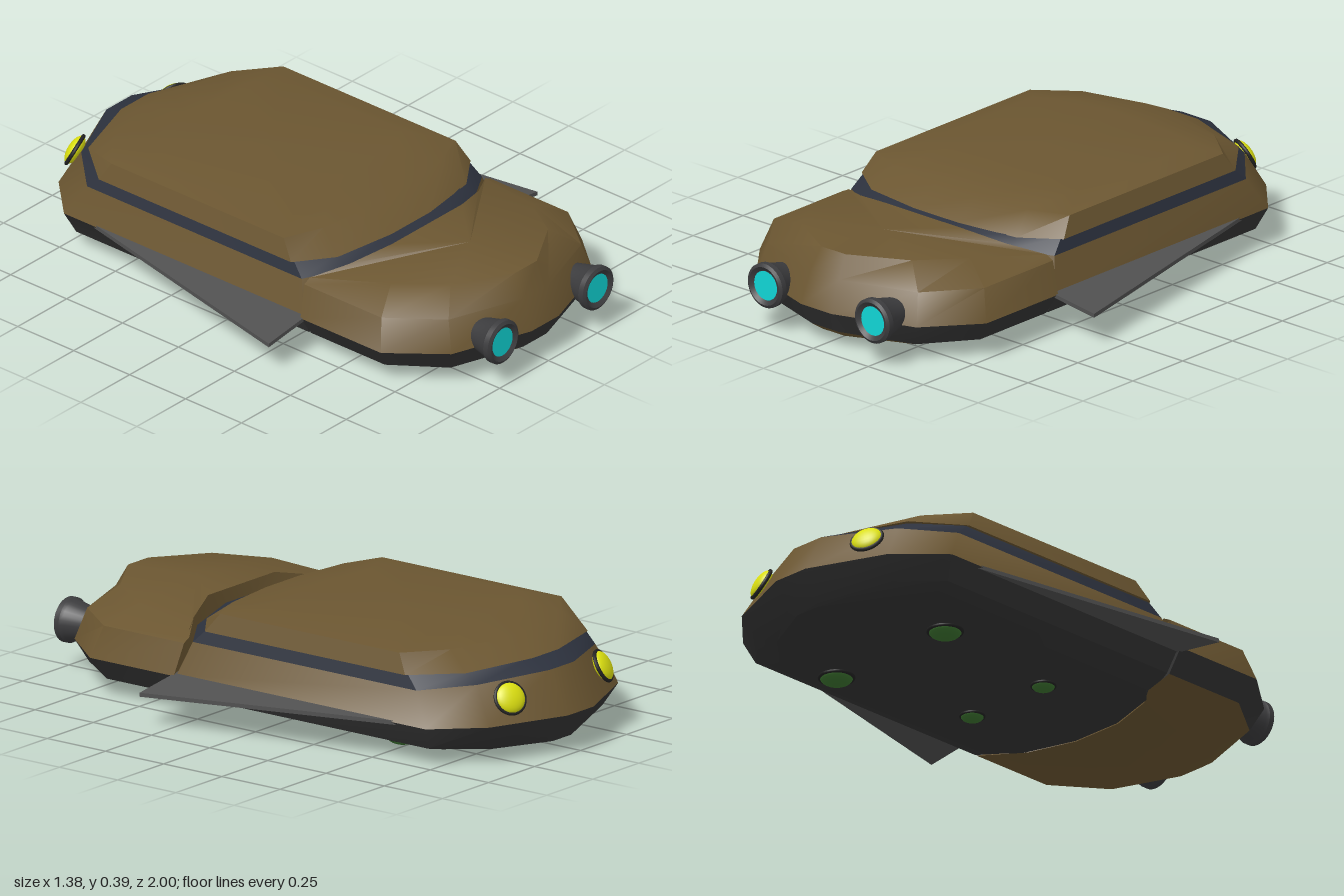
import * as THREE from 'three';
import { toCreasedNormals } from 'three/addons/utils/BufferGeometryUtils.js';

const mat = (color) => new THREE.MeshStandardMaterial({ color });
const paint = mat(0x6b5631), hullGrey = mat(0x343434), glass = mat(0x2c313d), finGrey = mat(0x505050);
const nozzleGrey = mat(0x3c3c3e), rim = mat(0x222222), cyan = mat(0x10d4d4), yellow = mat(0xdce010), green = mat(0x3c7430);

// Closed ring from half an outline [x, z, y], mirrored across x = 0
function ring(y, half) {
  const right = half.map(([x, z, h = y]) => [x, h, z]);
  return [...right, ...right.map(([x, h, z]) => [-x, h, z]).reverse()];
}

// Skin through rings stacked upwards, with optional cap centres
function loft(rings, { bottom, top } = {}) {
  const pos = [];
  const tri = (...p) => p.forEach((v) => pos.push(...v));
  const n = rings[0].length;
  for (let i = 0; i < n; i++) {
    const j = (i + 1) % n;
    for (let k = 0; k < rings.length - 1; k++) {
      const a = rings[k], b = rings[k + 1];
      tri(a[i], b[i], a[j]);
      tri(a[j], b[i], b[j]);
    }
    const first = rings[0], last = rings[rings.length - 1];
    if (bottom) tri(bottom, first[i], first[j]);
    if (top) tri(top, last[j], last[i]);
  }
  const g = new THREE.BufferGeometry();
  g.setAttribute('position', new THREE.Float32BufferAttribute(pos, 3));
  return toCreasedNormals(g, 0.75);
}

export function createModel() {
  const model = new THREE.Group();
  const add = (name, geometry, material, parent = model) => {
    const m = new THREE.Mesh(geometry, material);
    m.name = name;
    parent.add(m);
    return m;
  };

  // Cabin body: outlines run from the -z end along the side to the +z end
  const floor = ring(0.032, [[0.05, -0.92], [0.25, -0.82], [0.36, -0.69], [0.36, 0.33], [0.3, 0.39], [0.1, 0.45]]);
  const chine = ring(0.06, [[0.06, -0.945], [0.32, -0.84], [0.46, -0.71], [0.46, 0.33], [0.34, 0.39], [0.1, 0.45]]);
  const belt = ring(0.14, [[0.07, -1], [0.35, -0.885], [0.5, -0.73], [0.5, 0.34], [0.36, 0.39], [0.1, 0.45]]);
  const shoulder = ring(0.255, [[0.065, -0.92, 0.285], [0.32, -0.81, 0.27], [0.462, -0.66], [0.462, 0.3], [0.33, 0.385, 0.27], [0.1, 0.445, 0.285]]);
  const windowTop = ring(0.305, [[0.065, -0.84, 0.318], [0.32, -0.76], [0.448, -0.61], [0.448, 0.25], [0.32, 0.335], [0.1, 0.375]]);
  add('lowerHull', loft([floor, chine, belt], { bottom: [0, 0.032, -0.2] }), hullGrey);
  add('cabinSides', loft([belt, shoulder]), paint);
  add('windowBand', loft([shoulder, windowTop]), glass);

  // Roof shell, slightly overhanging the window band
  add('roof', loft([
    ring(0.3, [[0.07, -0.85, 0.315], [0.33, -0.77, 0.306], [0.46, -0.61], [0.46, 0.25], [0.33, 0.345], [0.1, 0.385, 0.305]]),
    ring(0.367, [[0.065, -0.74], [0.3, -0.68], [0.44, -0.57], [0.44, 0.2], [0.3, 0.255], [0.09, 0.28]]),
    ring(0.392, [[0.05, -0.57], [0.24, -0.55], [0.34, -0.48], [0.34, 0.05], [0.24, 0.09], [0.08, 0.1]]),
  ], { bottom: [0, 0.3, -0.2], top: [0, 0.394, -0.25] }), paint);

  // Nose section, with a rear edge curved around the windscreen
  const noseFloor = ring(0.032, [[0.1, 0.455], [0.28, 0.4], [0.36, 0.34], [0.36, 0.62], [0.26, 0.8], [0.05, 0.9]]);
  const noseChine = ring(0.06, [[0.1, 0.455], [0.3, 0.4], [0.46, 0.34], [0.46, 0.67], [0.33, 0.85], [0.06, 0.94]]);
  const noseBelt = ring(0.14, [[0.1, 0.455], [0.32, 0.4], [0.515, 0.34], [0.515, 0.7], [0.365, 0.885], [0.07, 0.985]]);
  const noseShoulder = ring(0.25, [[0.1, 0.457], [0.33, 0.4], [0.478, 0.325], [0.478, 0.67], [0.34, 0.85], [0.065, 0.945]]);
  const noseTop = ring(0.328, [[0.18, 0.457], [0.33, 0.4, 0.295], [0.45, 0.325, 0.264], [0.36, 0.61, 0.31], [0.25, 0.78, 0.322], [0.055, 0.9]]);
  add('noseUnderside', loft([noseFloor, noseChine], { bottom: [0, 0.032, 0.65] }), paint);
  add('noseSkirt', loft([noseChine, noseBelt]), hullGrey);
  add('hood', loft([noseBelt, noseShoulder, noseTop], { top: [0, 0.332, 0.65] }), paint);

  // Thin triangular side fins, drooping outwards
  for (const s of [1, -1]) {
    const pts = [[0.47, 0.135, -0.73], [0.688, 0.105, 0.35], [0.47, 0.135, 0.35]];
    const low = pts.map(([x, y, z]) => [s * x, y, z]);
    if (s > 0) low.reverse();
    low.reverse();
    const high = low.map(([x, y, z]) => [x, y + 0.014, z]);
    const centre = (r) => [0, 1, 2].map((k) => (r[0][k] + r[1][k] + r[2][k]) / 3);
    const fin = add(s > 0 ? 'leftFin' : 'rightFin', loft([low, high], { bottom: centre(low), top: centre(high) }), finGrey);
    fin.material = finGrey.clone();
    fin.material.side = THREE.DoubleSide;
  }

  // Flared nozzles with glowing discs
  const bell = [[0, -0.1], [0.045, -0.1], [0.055, -0.05], [0.072, 0.025], [0.079, 0.035], [0.079, 0.055], [0.068, 0.062], [0.052, 0.05], [0, 0.05]];
  const bellGeo = toCreasedNormals(new THREE.LatheGeometry(bell.map(([r, y]) => new THREE.Vector2(r, y)), 28), 0.6);
  for (const x of [-0.225, 0.262]) {
    const nozzle = new THREE.Group();
    nozzle.name = 'nozzle';
    add('nozzleBell', bellGeo, nozzleGrey, nozzle).rotation.x = Math.PI / 2;
    add('nozzleGlow', new THREE.CircleGeometry(0.052, 28), cyan, nozzle).position.z = 0.053;
    nozzle.position.set(x, 0.167, 0.938);
    model.add(nozzle);
  }

  // Domed lenses in dark rims: local +z faces outwards
  function lens(name, r, depth, material, position, normal) {
    const g = new THREE.Group();
    g.name = name;
    add(name + 'Dome', new THREE.SphereGeometry(r, 24, 14), material, g).scale.z = depth / r;
    add(name + 'Rim', new THREE.TorusGeometry(r, r * 0.13, 8, 28), rim, g);
    g.position.set(...position);
    g.quaternion.setFromUnitVectors(new THREE.Vector3(0, 0, 1), new THREE.Vector3(...normal).normalize());
    model.add(g);
  }
  for (const [x, s] of [[0.247, 1], [-0.257, -1]]) lens('tailLamp', 0.054, 0.025, yellow, [x, 0.222, -0.893], [s * 0.38, 0.5, -0.85]);

  // Underside pads
  for (const [x, z, r] of [[-0.215, -0.48, 0.057], [0.305, -0.48, 0.057], [-0.14, 0.06, 0.04], [0.2, 0.06, 0.04]]) {
    lens('underPad', r, r * 0.5, green, [x, r * 0.5 + (r < 0.05 ? 0.009 : 0.002), z], [0, -1, 0]);
  }
  return model;
}
